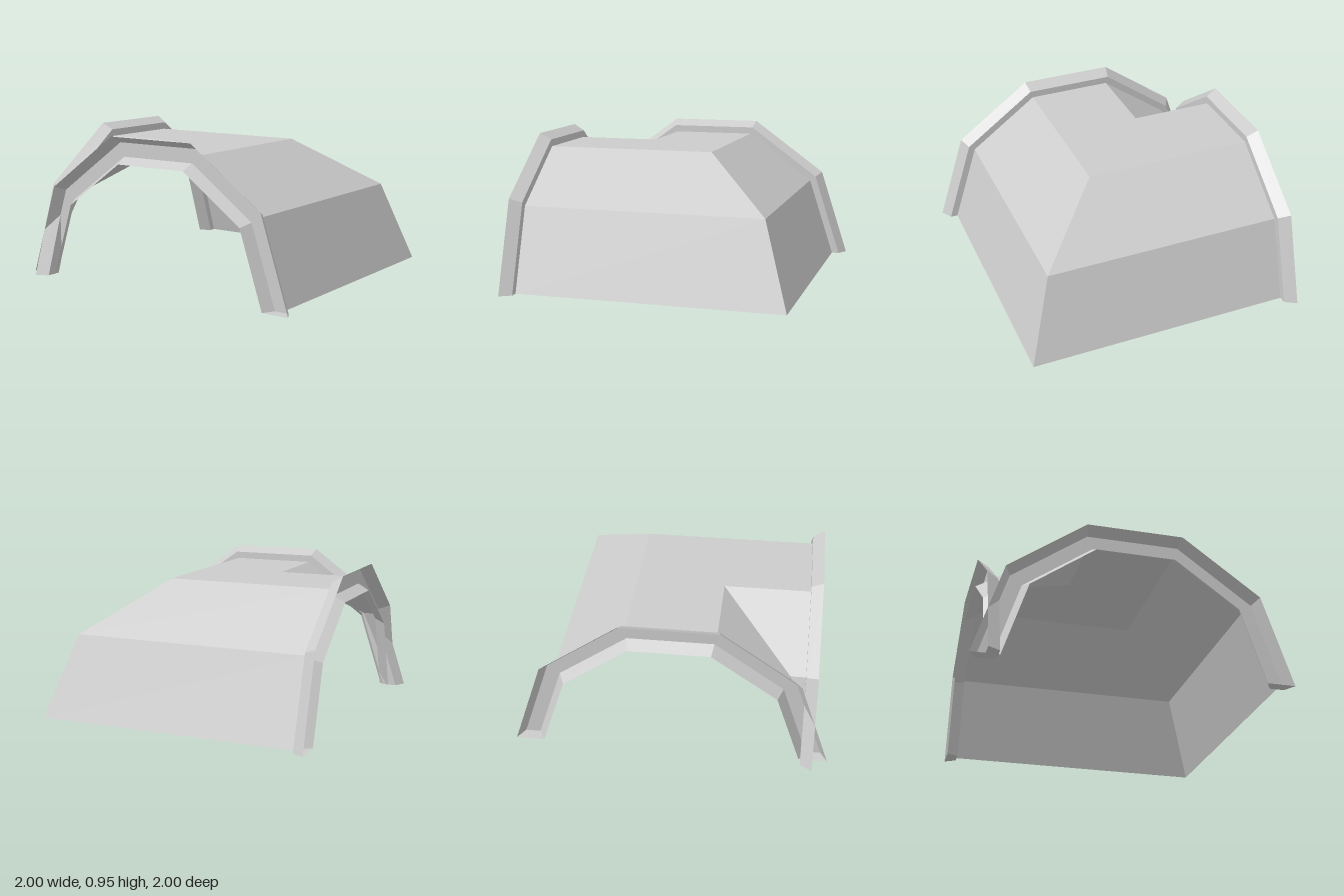
import * as THREE from 'three';

const material = new THREE.MeshStandardMaterial({ color: 0xcccccc, flatShading: true, side: THREE.DoubleSide });

// Point i of an upper half-decagon with the given radius, from the +x foot (0) to the -x foot (5)
const archPoint = (radius, i, z) =>
  new THREE.Vector3(radius * Math.cos(i * Math.PI / 5), i === 5 ? 0 : radius * Math.sin(i * Math.PI / 5), z);

// Mesh from four-cornered faces; triangles without area are dropped
function facesMesh(name, quads) {
  const points = [];
  for (const [a, b, c, d] of quads) {
    for (const t of [[a, b, c], [a, c, d]]) {
      if (new THREE.Triangle(...t).getArea() > 1e-7) points.push(...t);
    }
  }
  const geometry = new THREE.BufferGeometry().setFromPoints(points);
  geometry.computeVertexNormals();
  const mesh = new THREE.Mesh(geometry, material);
  mesh.name = name;
  return mesh;
}

const END = 0.83;    // where the passage meets the frames
const FRONT = 0.905; // outer rim of the frames

// Arched channel, open towards +z, with closed feet
function createFrame(name) {
  const section = [[1, FRONT], [0.956, END], [0.862, END], [0.82, FRONT]];
  const p = (k, i) => archPoint(section[k][0], i, section[k][1]);
  const quads = [];
  for (let k = 0; k < 3; k++) {
    for (let i = 0; i < 5; i++) quads.push([p(k, i), p(k + 1, i), p(k + 1, i + 1), p(k, i + 1)]);
  }
  quads.push([p(3, 0), p(2, 0), p(1, 0), p(0, 0)]);
  quads.push([p(0, 5), p(1, 5), p(2, 5), p(3, 5)]);
  return facesMesh(name, quads);
}

// Two arched passages mitred along the diagonal x = -z
function createPassage() {
  const profile = [0, 1, 2, 3, 4, 5].map(i => archPoint(0.907, i, END));
  // On the inside of the bend the wall stops where both frames meet
  const t = (-END - profile[4].x) / (profile[5].x - profile[4].x);
  profile[5].lerpVectors(profile[4], profile[5], t);

  const corner = v => new THREE.Vector3(v.x, v.y, -v.x);
  const mirror = v => new THREE.Vector3(-v.z, v.y, -v.x);
  const frontQuads = [];
  for (let i = 0; i < 5; i++) {
    const a = profile[i], b = profile[i + 1];
    frontQuads.push([a, corner(a), corner(b), b]);
  }
  const sideQuads = frontQuads.map(q => q.map(mirror).reverse());
  return [facesMesh('frontPassage', frontQuads), facesMesh('sidePassage', sideQuads)];
}

export function createModel() {
  const group = new THREE.Group();
  group.name = 'cornerTunnel';
  const frontFrame = createFrame('frontFrame');
  const sideFrame = createFrame('sideFrame');
  sideFrame.rotation.y = -Math.PI / 2; // opens towards -x
  group.add(...createPassage(), frontFrame, sideFrame);
  return group;
}
